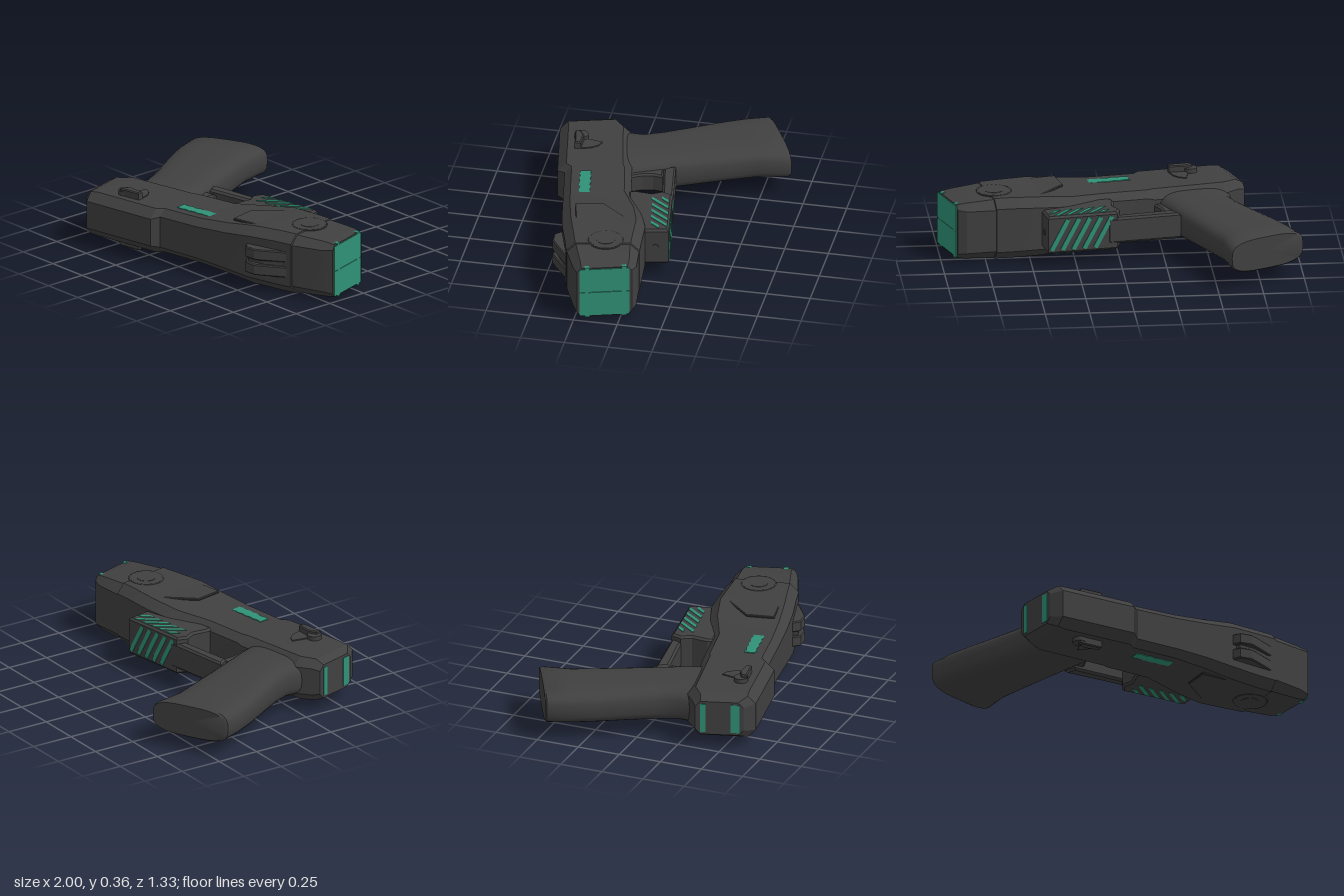
import * as THREE from 'three';
import { toCreasedNormals } from 'three/addons/utils/BufferGeometryUtils.js';

const MID = 0.18;    // height of the symmetry plane (the model lies on its side)
const TILT = 0.175;  // barrel direction, turned about y

const shell = new THREE.MeshStandardMaterial({ color: 0x404040 });
shell.name = 'charcoal shell';
const accent = new THREE.MeshStandardMaterial({ color: 0x2f9175 });
accent.name = 'green accent';

function add(parent, name, geometry, material = shell) {
  const mesh = new THREE.Mesh(geometry, material);
  mesh.name = name;
  parent.add(mesh);
  return mesh;
}

// Skin over a list of equal-length rings, closed at both ends
function loft(rings, crease) {
  const n = rings[0].length, tris = [];
  for (let i = 0; i < rings.length - 1; i++) {
    for (let j = 0; j < n; j++) {
      const k = (j + 1) % n, a = rings[i], b = rings[i + 1];
      tris.push([a[j], a[k], b[k]], [a[j], b[k], b[j]]);
    }
  }
  const cap = (r, flip) => {
    const c = r.reduce((s, p) => s.add(p), new THREE.Vector3()).divideScalar(n);
    r.forEach((p, j) => tris.push(flip ? [c, r[(j + 1) % n], p] : [c, p, r[(j + 1) % n]]));
  };
  cap(rings[0], true);
  cap(rings[rings.length - 1], false);
  // Turn all faces outward using the sign of the enclosed volume
  const volume = tris.reduce((s, [a, b, c]) => s + a.dot(b.clone().cross(c)), 0);
  const points = tris.flatMap(([a, b, c]) => (volume < 0 ? [a, c, b] : [a, b, c]));
  const g = new THREE.BufferGeometry().setFromPoints(points);
  g.computeVertexNormals();
  return toCreasedNormals(g, crease);
}

// Slab with an outline in the x/z plane, centred at height y
function slab(points, half, bevel = 0, y = MID) {
  const shape = new THREE.Shape(points.map(([u, v]) => new THREE.Vector2(u, v)));
  const g = new THREE.ExtrudeGeometry(shape, {
    depth: 2 * (half - bevel), bevelEnabled: bevel > 0, bevelSize: bevel,
    bevelThickness: bevel, bevelOffset: -bevel, bevelSegments: 1,
  });
  g.translate(0, 0, -(half - bevel));
  g.rotateX(Math.PI / 2);
  g.translate(0, y, 0);
  return g;
}

const bothSides = (fn) => [1, -1].forEach(fn);

function buildBody(gun) {
  // uLow, uHigh, low edge, high edge, half width, chamfer
  const sections = [
    [-0.79, -0.756, 0.216, 0.486, 0.1, 0.03],
    [-0.745, -0.706, 0.19, 0.546, 0.125, 0.045],
    [-0.66, -0.66, 0.14, 0.546, 0.13, 0.05],
    [-0.245, -0.245, 0.128, 0.546, 0.13, 0.05],
    [-0.21, -0.21, 0.128, 0.505, 0.13, 0.04],
    [0.05, 0.05, 0.123, 0.505, 0.133, 0.04],
    [0.25, 0.25, 0.06, 0.505, 0.15, 0.045],
    [0.42, 0.42, 0.034, 0.5, 0.172, 0.05],
    [0.6, 0.6, 0.05, 0.478, 0.177, 0.05],
    [0.69, 0.7, 0.057, 0.468, 0.177, 0.05],
    [0.693, 0.703, 0.06, 0.464, 0.171, 0.05],
    [0.86, 0.88, 0.071, 0.424, 0.163, 0.04],
    [0.907, 0.945, 0.094, 0.4, 0.155, 0.025],
  ];
  const rings = sections.map(([u0, u1, lo, hi, h, c]) => [
    [-h, lo + c], [-h, hi - c], [-h + c, hi], [h - c, hi],
    [h, hi - c], [h, lo + c], [h - c, lo], [-h + c, lo],
  ].map(([y, v]) => new THREE.Vector3(u0 + (u1 - u0) * (v - lo) / (hi - lo), MID + y, v)));
  add(gun, 'body', loft(rings, 0.3));

  // Paired sight ribs with a slot between them
  const rib = [[0.4, 0.47], [0.408, 0.505], [0.432, 0.543], [0.502, 0.551],
    [0.546, 0.533], [0.668, 0.473], [0.668, 0.45]];
  bothSides((s) => add(gun, 'sightRib', slab(rib, 0.032, 0.006, MID + s * 0.045)));
  add(gun, 'sightFloor', slab([[0.42, 0.47], [0.44, 0.525], [0.54, 0.515], [0.65, 0.47]], 0.03));
}

function buildGuard(gun) {
  add(gun, 'triggerGuard', slab([[-0.33, -0.115], [0.08, -0.11], [0.08, -0.05], [-0.3, -0.045]], 0.075, 0.012));
  add(gun, 'foreBlock', slab([[0.035, -0.108], [0.434, -0.098], [0.434, 0.06], [0.25, 0.14], [0.01, 0.14],
    [0.002, 0.105], [0.027, 0.01], [0.005, -0.05]], 0.11, 0.012));
  add(gun, 'trigger', slab([[-0.33, -0.05], [-0.246, -0.043], [-0.262, 0.01], [-0.26, 0.07], [-0.24, 0.14], [-0.33, 0.14]], 0.055, 0.01));
  const pin = add(gun, 'blockPin', new THREE.CylinderGeometry(0.018, 0.018, 0.008, 16));
  pin.rotation.z = Math.PI / 2;
  pin.position.set(0.435, MID, -0.025);

  // Slanted grip stripes: start, then the part of the full slant that is used
  const stripes = [[0.01, 0.6, 1], [0.075, 0, 1], [0.14, 0, 1], [0.205, 0, 1], [0.27, 0, 1], [0.335, 0, 0.5]];
  const w = 0.03;
  stripes.forEach(([a, t0, t1]) => {
    const p = (t, d) => [a + 0.1 * t + d, 0.005 - 0.093 * t];
    bothSides((s) => add(gun, 'sideStripe',
      slab([p(t0, 0), p(t1, 0), p(t1, w), p(t0, w)], 0.004, 0, MID + s * 0.109), accent));
  });
  for (let i = 0; i < 5; i++) {
    const u = 0.115 + i * 0.063;
    const m = add(gun, 'underStripe', new THREE.BoxGeometry(0.026, 0.2, 0.008), accent);
    m.position.set(u, MID, -0.108 + 0.025 * (u - 0.035));
    m.rotation.z = 0.5;
  }
}

function buildSideDetails(gun) {
  // Serrated outline of the side marker
  const marker = [];
  for (let i = 0; i <= 10; i++) marker.push([-0.16 + i * 0.03, 0.352 + (i % 2) * 0.007]);
  for (let i = 10; i >= 0; i--) marker.push([-0.16 + i * 0.03, 0.412 + (i % 2) * 0.007]);
  bothSides((s) => {
    add(gun, 'sideMarker', slab(marker, 0.004, 0, MID + s * 0.131), accent);

    // Round side button with a raised rim and centre
    const button = add(gun, 'sideButton', new THREE.CylinderGeometry(0.092, 0.092, 0.02, 40));
    button.position.set(0.657, MID + s * 0.169, 0.248);
    const rim = add(gun, 'buttonRim', new THREE.TorusGeometry(0.095, 0.005, 6, 40));
    rim.rotation.x = Math.PI / 2;
    rim.position.set(0.657, MID + s * 0.175, 0.248);
    const centre = add(gun, 'buttonCentre', new THREE.CylinderGeometry(0.052, 0.052, 0.004, 32));
    centre.position.set(0.657, MID + s * 0.179, 0.248);

    // Cheek panel step
    add(gun, 'cheekPanel', slab([[0.25, 0.27], [0.255, 0.43], [0.66, 0.415], [0.66, 0.1], [0.45, 0.1]],
      0.007, 0.004, MID + s * 0.164)).rotation.z = 0;

    // Safety lever, pivot and guide plate
    const pivot = add(gun, 'safetyPivot', new THREE.CylinderGeometry(0.04, 0.04, 0.04, 24));
    pivot.position.set(-0.528, MID + s * 0.135, 0.42);
    add(gun, 'safetyLever', slab([[-0.54, 0.425], [-0.54, 0.455], [-0.405, 0.455], [-0.405, 0.42], [-0.49, 0.405]],
      0.025, 0.006, MID + s * 0.147));
    add(gun, 'safetyGuide', slab([[-0.52, 0.42], [-0.475, 0.3], [-0.44, 0.32], [-0.415, 0.36], [-0.405, 0.425]],
      0.006, 0, MID + s * 0.13));
  });
}

function buildEnds(gun) {
  // Split front cover and its wrap-around clips
  bothSides((s) => {
    const door = add(gun, 'frontCover', new THREE.BoxGeometry(0.008, 0.147, 0.28), accent);
    door.position.set(0.927, MID + s * 0.075, 0.247);
    door.rotation.y = 0.124;
  });
  [[0.909, 0.138], [0.934, 0.345]].forEach(([u, v]) => {
    const clip = add(gun, 'coverClip', new THREE.BoxGeometry(0.024, 0.318, 0.026), accent);
    clip.position.set(u - 0.004, MID, v);
    clip.rotation.y = 0.124;
  });
  // Rear strips
  [[-0.762, 0.44, 0.05], [-0.785, 0.26, 0.03]].forEach(([u, v, w]) => {
    const strip = add(gun, 'rearStrip', new THREE.BoxGeometry(0.008, 0.17, w), accent);
    strip.position.set(u, MID, v);
    strip.rotation.y = 0.125;
  });
}

function buildGrip(root) {
  // back x, back z, front x, front z, half thickness
  const sections = [
    [-0.99, -0.455, -0.58, -0.668, 0.092],
    [-0.998, -0.44, -0.57, -0.655, 0.1],
    [-0.95, -0.32, -0.537, -0.49, 0.1],
    [-0.88, -0.19, -0.48, -0.36, 0.101],
    [-0.78, -0.03, -0.41, -0.2, 0.103],
    [-0.7, 0.1, -0.34, -0.04, 0.106],
    [-0.655, 0.2, -0.275, 0.1, 0.108],
    [-0.66, 0.3, -0.22, 0.22, 0.11],
  ];
  const soft = (t) => Math.sign(t) * Math.abs(t) ** 0.6;
  const rings = sections.map(([bx, bz, fx, fz, h]) => Array.from({ length: 32 }, (_, i) => {
    const a = i / 32 * Math.PI * 2, t = 0.5 + 0.5 * soft(Math.cos(a));
    return new THREE.Vector3(bx + (fx - bx) * t, MID + h * soft(Math.sin(a)), bz + (fz - bz) * t);
  }));
  add(root, 'grip', loft(rings, 0.7));
}

export function createModel() {
  const root = new THREE.Group();
  root.name = 'stunPistol';
  const gun = new THREE.Group();
  gun.name = 'upperAssembly';
  gun.rotation.y = TILT;
  root.add(gun);
  buildBody(gun);
  buildGuard(gun);
  buildSideDetails(gun);
  buildEnds(gun);
  buildGrip(root);
  return root;
}
